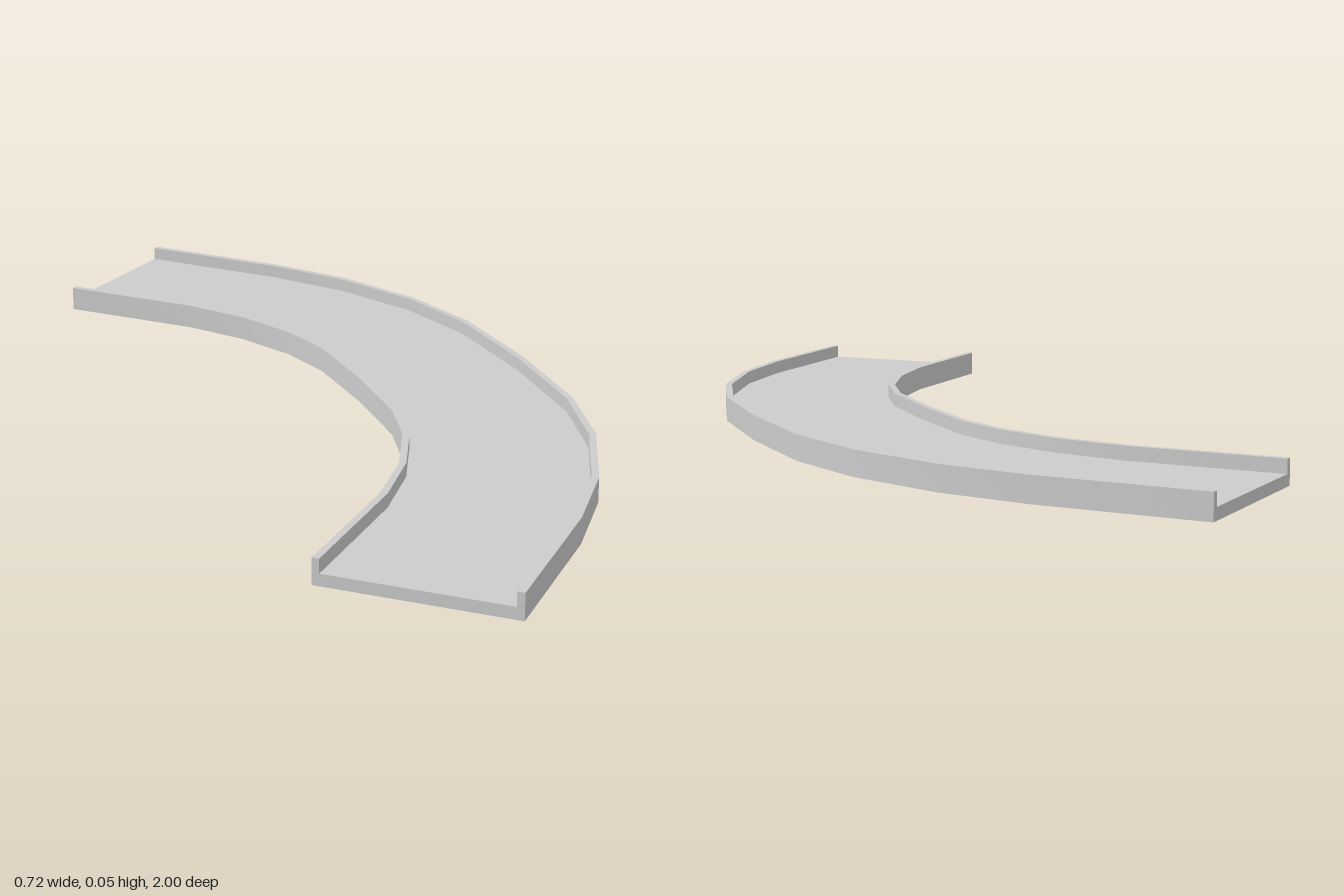
import * as THREE from 'three';
import { toCreasedNormals } from 'three/addons/utils/BufferGeometryUtils.js';

// Half of the bend in plan, from the back end to the middle: inner x, z, outer x, z
const half = [
  [-0.36, -0.76, -0.1, -1.0],
  [-0.16, -0.55, 0.11, -0.768],
  [-0.08, -0.435, 0.216, -0.62],
  [-0.023, -0.31, 0.303, -0.435],
  [0.005, -0.19, 0.348, -0.25],
  [0.012, 0, 0.36, 0],
];

// U-shaped section: fraction across the width, height
const W = 0.037, WALL = 0.048, FLOOR = 0.022;
const section = [
  [0, 0], [1, 0], [1, WALL], [1 - W, WALL],
  [1 - W, FLOOR], [W, FLOOR], [W, WALL], [0, WALL],
];

function loftChannel(stations) {
  const rings = stations.map(([ix, iz, ox, oz]) =>
    section.map(([t, y]) => [ix + (ox - ix) * t, y, iz + (oz - iz) * t]));
  const pos = [];
  const tri = (a, b, c) => pos.push(...a, ...b, ...c);

  // Sides, floor and wall tops
  for (let i = 0; i < rings.length - 1; i++) {
    for (let j = 0; j < section.length; j++) {
      const k = (j + 1) % section.length;
      const [p, q] = [rings[i], rings[i + 1]];
      tri(p[j], p[k], q[k]);
      tri(p[j], q[k], q[j]);
    }
  }

  // End caps
  const outline = section.map(([t, y]) => new THREE.Vector2(t, y));
  const first = rings[0], last = rings[rings.length - 1];
  for (const [a, b, c] of THREE.ShapeUtils.triangulateShape(outline, [])) {
    tri(last[a], last[b], last[c]);
    tri(first[a], first[c], first[b]);
  }

  const geo = new THREE.BufferGeometry();
  geo.setAttribute('position', new THREE.Float32BufferAttribute(pos, 3));
  return toCreasedNormals(geo, Math.PI / 6);
}

export function createModel() {
  const group = new THREE.Group();
  group.name = 'curvedTrack';

  // Mirror the half bend towards the front
  const mirrored = half.slice(0, -1).reverse().map(([ix, iz, ox, oz]) => [ix, -iz, ox, -oz]);
  const channel = new THREE.Mesh(
    loftChannel([...half, ...mirrored]),
    new THREE.MeshStandardMaterial({ color: 0xcccccc }),
  );
  channel.name = 'trackChannel';
  group.add(channel);
  return group;
}
